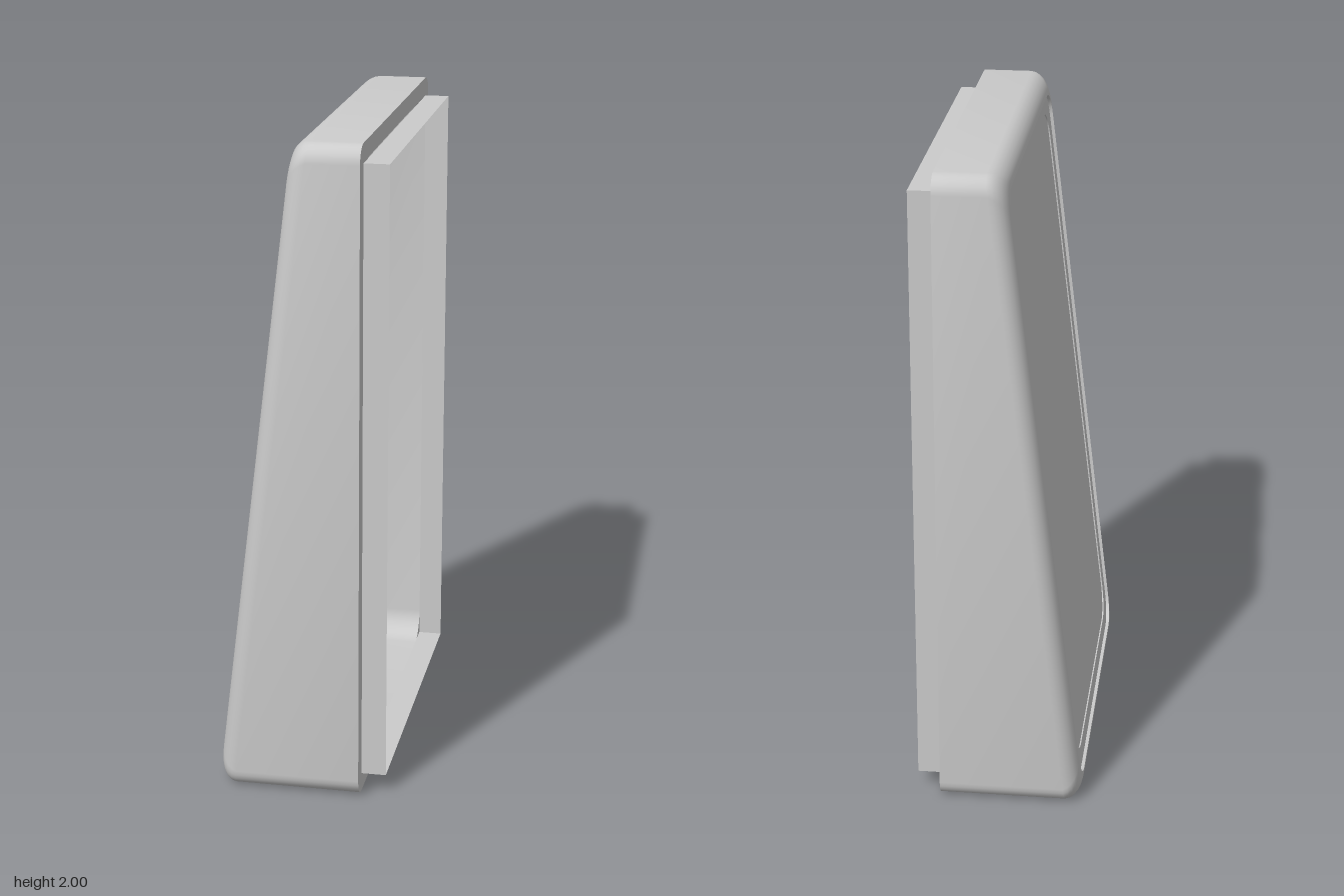
import * as THREE from 'three';
import { toCreasedNormals } from 'three/addons/utils/BufferGeometryUtils.js';

const HALF_Z = 0.61, HEIGHT = 2, OPEN_X = 0.18, SEG = 6;
const WALL = 0.055;

// x of the slanted plane at height y
const slantX = (y) => -0.262 + 0.118 * y;

// Rounded rectangle inset from the outer outline; xAt(y) gives the depth
function ring(inset, radius, xAt) {
  const hz = HALF_Z - inset - radius, hy = HEIGHT / 2 - inset - radius;
  const corners = [[hz, hy], [-hz, hy], [-hz, -hy], [hz, -hy]];
  const points = [];
  corners.forEach(([cz, cy], k) => {
    for (let i = 0; i <= SEG; i++) {
      const a = (k + i / SEG) * Math.PI / 2;
      const y = HEIGHT / 2 + cy + radius * Math.sin(a);
      points.push(new THREE.Vector3(xAt(y), y, cz + radius * Math.cos(a)));
    }
  });
  return points;
}
const flatRing = (inset, radius, x) => ring(inset, radius, () => x);
const slantRing = (inset, radius, depth) => ring(inset, radius, (y) => slantX(y) + depth);

// Skin consecutive rings
function loft(rings) {
  const pos = [];
  const tri = (...p) => {
    if (p[0].equals(p[1]) || p[1].equals(p[2]) || p[0].equals(p[2])) return;
    p.forEach((v) => pos.push(v.x, v.y, v.z));
  };
  for (let i = 0; i < rings.length - 1; i++) {
    const n = rings[i].length;
    for (let j = 0; j < n; j++) {
      const k = (j + 1) % n;
      const a = rings[i][j], b = rings[i][k], c = rings[i + 1][j], d = rings[i + 1][k];
      tri(a, b, c);
      tri(b, d, c);
    }
  }
  const g = new THREE.BufferGeometry();
  g.setAttribute('position', new THREE.Float32BufferAttribute(pos, 3));
  return toCreasedNormals(g, 0.6);
}

export function createModel() {
  const group = new THREE.Group();
  const material = new THREE.MeshStandardMaterial({ color: 0xcccccc, side: THREE.DoubleSide });
  const add = (name, geometry) => {
    const mesh = new THREE.Mesh(geometry, material);
    mesh.name = name;
    group.add(mesh);
  };

  // Hollow wedge housing: outer wall, rounded edge, recessed window, inner cavity, rear rim
  const profile = [flatRing(0, WALL, OPEN_X)];
  for (let i = 0; i <= SEG; i++) {
    const t = i / SEG, a = t * Math.PI / 2;
    profile.push(slantRing(WALL * (1 - Math.cos(a)), WALL + 0.03 * t, WALL * (1 - Math.sin(a))));
  }
  profile.push(slantRing(WALL, 0.085, 0.01), slantRing(0.105, 0.09, 0.01));
  profile.push(slantRing(0.105, 0.09, 0.03));
  for (let i = 0; i <= SEG; i++) {
    const a = (i / SEG) * Math.PI / 2;
    profile.push(slantRing(0.095 - 0.04 * Math.sin(a), 0.085, 0.03 + 0.04 * (1 - Math.cos(a))));
  }
  profile.push(flatRing(WALL, 0.085, OPEN_X), flatRing(0, WALL, OPEN_X));
  add('housing', loft(profile));

  // Thin slanted panel filling the window
  const outer = slantRing(0.105, 0.09, 0.014), inner = slantRing(0.105, 0.09, 0.022);
  const centre = (depth) => outer.map(() => new THREE.Vector3(slantX(1) + depth, 1, 0));
  add('slantedPanel', loft([centre(0.022), inner, outer, centre(0.014)]));

  // Thin square-cornered collar standing out of the open side
  const collarRing = (x) => [[1, 1], [-1, 1], [-1, -1], [1, -1]].map(([sz, sy]) =>
    new THREE.Vector3(x, 1 + sy * (1 - WALL - 0.003), sz * (HALF_Z - WALL)));
  add('collar', loft([collarRing(0.255), collarRing(OPEN_X)]));

  return group;
}
